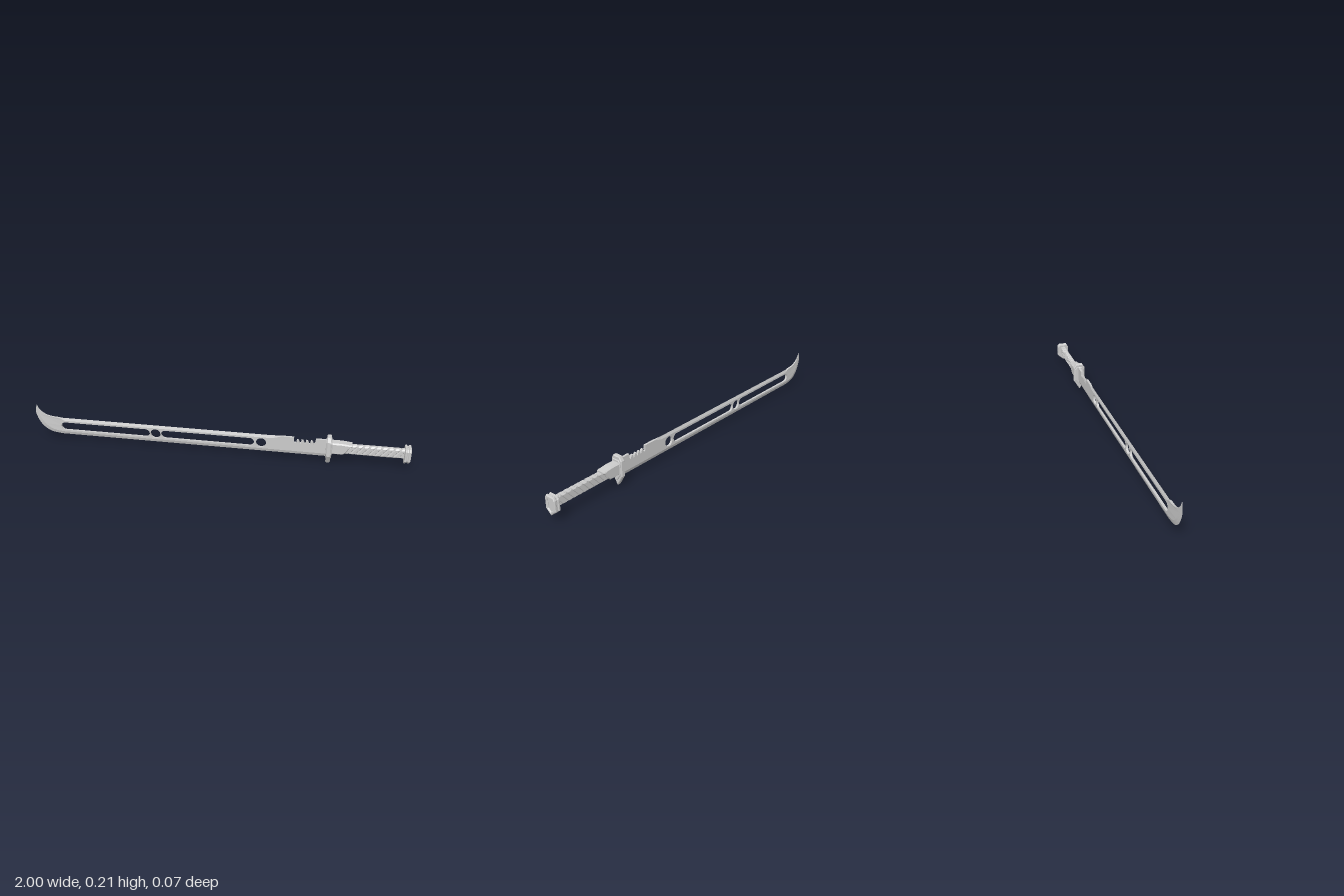
import * as THREE from 'three';

const grey = new THREE.MeshStandardMaterial({ color: 0xcccccc, flatShading: true });
const greyDouble = new THREE.MeshStandardMaterial({ color: 0xcccccc, flatShading: true, side: THREE.DoubleSide });
const HALF = 0.006; // half thickness of the blade

const vec = (pts) => pts.map(([x, y]) => new THREE.Vector2(x, y));
const spline = (pts, n = 16) => new THREE.SplineCurve(vec(pts)).getPoints(n);

function add(parent, name, geometry, material = grey) {
  const mesh = new THREE.Mesh(geometry, material);
  mesh.name = name;
  parent.add(mesh);
  return mesh;
}

// Move every vertex by a rule, then refresh the normals
function reshape(geometry, rule) {
  const p = geometry.attributes.position;
  const v = new THREE.Vector3();
  for (let i = 0; i < p.count; i++) {
    rule(v.fromBufferAttribute(p, i));
    p.setXYZ(i, v.x, v.y, v.z);
  }
  geometry.computeVertexNormals();
  return geometry;
}

// Thin the blade towards its tip
const taper = (v) => { v.z *= 1 - 0.8 * THREE.MathUtils.smoothstep(-v.x, 0.86, 1) * THREE.MathUtils.smoothstep(v.y, 0.05, 0.2); };

// Wedge running between an outer sharp line and an inner line of full thickness
function wedge(outer, inner) {
  const pos = [];
  for (const s of [1, -1]) {
    for (let i = 0; i < outer.length - 1; i++) {
      const o0 = [outer[i].x, outer[i].y, 0], o1 = [outer[i + 1].x, outer[i + 1].y, 0];
      const i0 = [inner[i].x, inner[i].y, s * HALF], i1 = [inner[i + 1].x, inner[i + 1].y, s * HALF];
      const quad = [o0, i0, i1, o0, i1, o1];
      if (s > 0) quad.reverse();
      pos.push(...quad.flat());
    }
  }
  const g = new THREE.BufferGeometry();
  g.setAttribute('position', new THREE.Float32BufferAttribute(pos, 3));
  return reshape(g, taper);
}

// Rounded slot or round hole
function slot(x0, x1, y, r) {
  const p = new THREE.Path();
  p.absarc(x1 - r, y, r, -Math.PI / 2, Math.PI / 2, false);
  p.absarc(x0 + r, y, r, Math.PI / 2, Math.PI * 1.5, false);
  p.closePath();
  return p;
}

// Plate outline in the z-y plane: chamfered top, pointed bottom
function plateOutline(w, top, chamfer, shoulder, bottom) {
  return vec([[0, bottom], [w, shoulder], [w, top - chamfer], [w - chamfer * 0.6, top],
    [-w + chamfer * 0.6, top], [-w, top - chamfer], [-w, shoulder]]);
}

// Extrude an outline along x between x0 and x1, bevelled inwards
function plate(outline, x0, x1, bevel, hole) {
  const shape = new THREE.Shape(outline);
  if (hole) shape.holes.push(new THREE.Path(hole));
  const g = new THREE.ExtrudeGeometry(shape, {
    depth: x1 - x0 - 2 * bevel, bevelEnabled: bevel > 0, bevelThickness: bevel,
    bevelSize: bevel, bevelOffset: -bevel, bevelSegments: 1,
  });
  return g.rotateY(Math.PI / 2).translate(x0 + bevel, 0, 0);
}

function createBlade() {
  const blade = new THREE.Group();
  blade.name = 'blade';

  // Cutting edge lines, from the guard round to the tip
  const start = 0.58;
  const outer = [new THREE.Vector2(start, 0.037), ...spline([[-0.86, 0.037], [-0.92, 0.047],
    [-0.965, 0.077], [-0.99, 0.12], [-1, 0.165], [-0.99, 0.205]])];
  const inner = [new THREE.Vector2(start, 0.054), ...spline([[-0.85, 0.054], [-0.905, 0.063],
    [-0.945, 0.09], [-0.972, 0.13], [-0.986, 0.168], [-0.99, 0.205]])];

  // Hooked back of the tip
  const hook = spline([[-0.99, 0.205], [-0.977, 0.176], [-0.95, 0.152], [-0.915, 0.139], [-0.87, 0.135]], 10);

  // Saw teeth in the notch near the guard
  const teeth = [[0.405, 0.135], [0.405, 0.106]];
  for (let i = 0; i < 4; i++) {
    const x = 0.417 + i * 0.024;
    teeth.push([x, 0.104], [x + 0.003, 0.122], [x + 0.012, 0.12], [x + 0.019, 0.104]);
  }
  teeth.push([0.515, 0.113], [0.517, 0.135], [start, 0.135]);

  const shape = new THREE.Shape([...inner, ...hook.slice(1),
    ...vec([[-0.84, 0.12], [0.29, 0.12], [0.34, 0.135], ...teeth])]);
  shape.holes.push(
    slot(-0.86, -0.365, 0.087, 0.023), slot(-0.361, -0.307, 0.087, 0.027),
    slot(-0.303, 0.197, 0.087, 0.023), slot(0.207, 0.261, 0.087, 0.027));
  const body = new THREE.ExtrudeGeometry(shape, { depth: 2 * HALF, bevelEnabled: false, curveSegments: 14 });
  add(blade, 'bladeBody', reshape(body.translate(0, 0, -HALF), taper));

  add(blade, 'cuttingEdge', wedge(outer, inner), greyDouble);
  add(blade, 'spineBevel', wedge(
    vec([[-0.87, 0.135], [-0.84, 0.135], [0.29, 0.135], [0.34, 0.135]]),
    vec([[-0.87, 0.135], [-0.84, 0.12], [0.29, 0.12], [0.34, 0.135]])), greyDouble);
  return blade;
}

// Broad wrap band around the grip, slanted by shearing it along x
function wrapBand(x) {
  const y = 0.092, h = 0.027, w = 0.0145, c = 0.007;
  const outline = vec([[w - c, y - h], [w, y - h + c], [w, y + h - c], [w - c, y + h],
    [c - w, y + h], [-w, y + h - c], [-w, y - h + c], [c - w, y - h]]);
  return reshape(plate(outline, x, x + 0.029, 0.005), (v) => { v.x += (v.y - y) * 0.8; });
}

function createHandle() {
  const handle = new THREE.Group();
  handle.name = 'handle';

  // Guard with a smaller raised plate on each face
  add(handle, 'guard', plate(plateOutline(0.033, 0.157, 0.022, 0.053, -0.002), 0.574, 0.598, 0.004));
  add(handle, 'guardFace', plate(plateOutline(0.026, 0.14, 0.014, 0.06, 0.025), 0.571, 0.602, 0.003));

  // Collar with a slanted rear end
  const collar = new THREE.Shape(vec([[0.598, 0.064], [0.66, 0.064], [0.678, 0.08],
    [0.69, 0.105], [0.705, 0.112], [0.705, 0.122], [0.65, 0.128], [0.598, 0.128]]));
  add(handle, 'collar', new THREE.ExtrudeGeometry(collar, {
    depth: 0.036, bevelThickness: 0.007, bevelSize: 0.006, bevelOffset: -0.006, bevelSegments: 1,
  }).translate(0, 0, -0.018));
  for (const s of [1, -1]) {
    const pin = add(handle, 'collarPin', new THREE.CylinderGeometry(0.006, 0.006, 0.004, 10));
    pin.rotation.x = Math.PI / 2;
    pin.position.set(0.685, 0.113, s * 0.025);
  }

  // Grip core and wrap
  add(handle, 'gripCore', new THREE.BoxGeometry(0.32, 0.046, 0.022).translate(0.82, 0.092, 0));
  for (let i = 0; i < 9; i++) add(handle, 'gripWrap', wrapBand(0.682 + i * 0.031));

  // Pommel: flange, body and raised rim
  const rim = plateOutline(0.032, 0.131, 0.014, 0.06, 0.033);
  const recess = plateOutline(0.017, 0.113, 0.007, 0.066, 0.052);
  add(handle, 'pommelFlange', plate(rim, 0.968, 0.98, 0.003));
  add(handle, 'pommelBody', plate(plateOutline(0.027, 0.126, 0.012, 0.062, 0.04), 0.974, 0.994, 0));
  add(handle, 'pommelRim', plate(rim, 0.985, 1, 0.004, recess));
  return handle;
}

export function createModel() {
  const model = new THREE.Group();
  model.name = 'sword';
  model.add(createBlade(), createHandle());
  return model;
}
